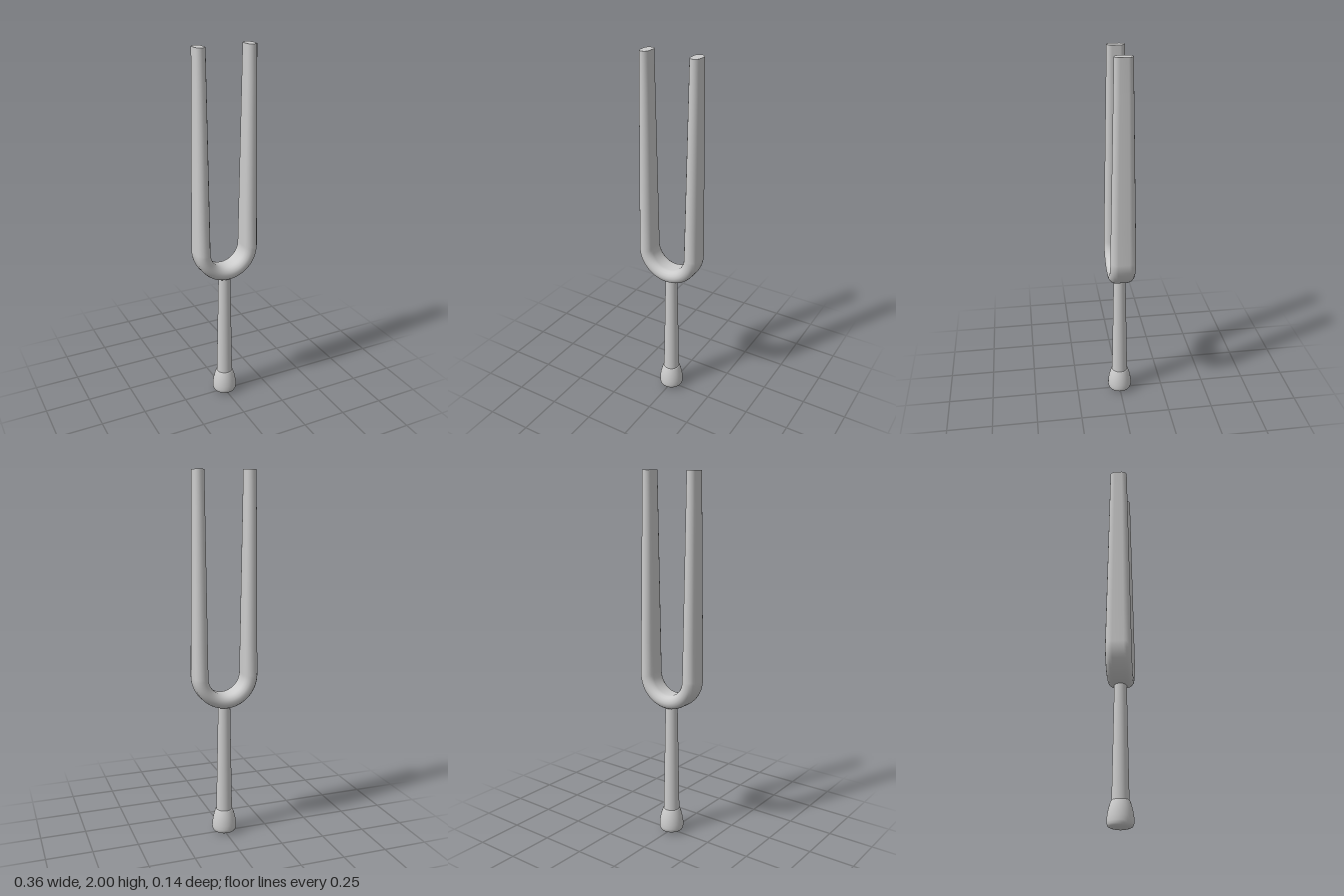
import * as THREE from 'three';

const RADIUS = 0.14;   // centre line radius of the U bend
const BEND_Y = 0.92;   // height of the bend centre
const TOP_Y = 2;

// Stadium cross-section: u is across the tine, v is its depth
function section(a, b, steps = 8) {
  const ring = [];
  for (const [side, start] of [[1, 0], [-1, Math.PI]]) {
    for (let i = 0; i <= steps; i++) {
      const t = start + (Math.PI * i) / steps;
      ring.push([a * Math.cos(t), side * (b - a) + a * Math.sin(t)]);
    }
  }
  return ring;
}

// Stations along the fork: centre, outward direction and half sizes
function forkStations() {
  const stations = [];
  const tine = (side, f) => stations.push({
    x: side * RADIUS, y: THREE.MathUtils.lerp(TOP_Y, BEND_Y, f), nx: side, ny: 0,
    a: THREE.MathUtils.lerp(0.027, 0.0385, f), b: THREE.MathUtils.lerp(0.047, 0.069, f),
  });
  const tineSteps = 6, bendSteps = 32;
  for (let i = 0; i <= tineSteps; i++) tine(1, i / tineSteps);
  for (let i = 1; i < bendSteps; i++) {
    const t = (-Math.PI * i) / bendSteps;
    const nx = Math.cos(t), ny = Math.sin(t);
    stations.push({ x: RADIUS * nx, y: BEND_Y + RADIUS * ny, nx, ny, a: 0.0385, b: 0.069 });
  }
  for (let i = tineSteps; i >= 0; i--) tine(-1, i / tineSteps);
  return stations;
}

function forkGeometry() {
  const pos = [], index = [];
  const rings = forkStations().map((s) =>
    section(s.a, s.b).map(([u, v]) => [s.x + s.nx * u, s.y + s.ny * u, v]));
  const n = rings[0].length;
  rings.forEach((ring) => ring.forEach((p) => pos.push(...p)));
  for (let i = 0; i < rings.length - 1; i++) {
    for (let j = 0; j < n; j++) {
      const k = (j + 1) % n;
      const p = i * n + j, q = i * n + k;
      index.push(p, q, p + n, q, q + n, p + n);
    }
  }
  // Flat tine ends with their own vertices, so the rim stays sharp
  [rings[0], rings[rings.length - 1]].forEach((ring, end) => {
    const base = pos.length / 3;
    ring.forEach((p) => pos.push(...p));
    for (let j = 1; j < n - 1; j++) {
      if (end === 0) index.push(base, base + j + 1, base + j);
      else index.push(base, base + j, base + j + 1);
    }
  });
  const geo = new THREE.BufferGeometry();
  geo.setAttribute('position', new THREE.Float32BufferAttribute(pos, 3));
  geo.setIndex(index);
  geo.computeVertexNormals();
  return geo;
}

const lathe = (points) =>
  new THREE.LatheGeometry(points.map(([r, y]) => new THREE.Vector2(r, y)), 40);

export function createModel() {
  const group = new THREE.Group();
  const material = new THREE.MeshStandardMaterial({ color: 0xcccccc });
  const add = (name, geometry) => {
    const mesh = new THREE.Mesh(geometry, material);
    mesh.name = name;
    group.add(mesh);
  };

  // Two tapered tines joined by the U bend
  add('tines', forkGeometry());

  // Tapered stem, running a little into the bend and the foot
  add('stem', lathe([[0.045, 0.12], [0.044, 0.16], [0.034, 0.7], [0.033, 0.77]]));

  // Rounded foot with a gently domed underside
  add('foot', lathe([
    [0, 0], [0.03, 0.002], [0.05, 0.007], [0.061, 0.013], [0.066, 0.022], [0.068, 0.035],
    [0.067, 0.058], [0.063, 0.085], [0.057, 0.11], [0.049, 0.135], [0.046, 0.14], [0.04, 0.141],
  ]));

  return group;
}
